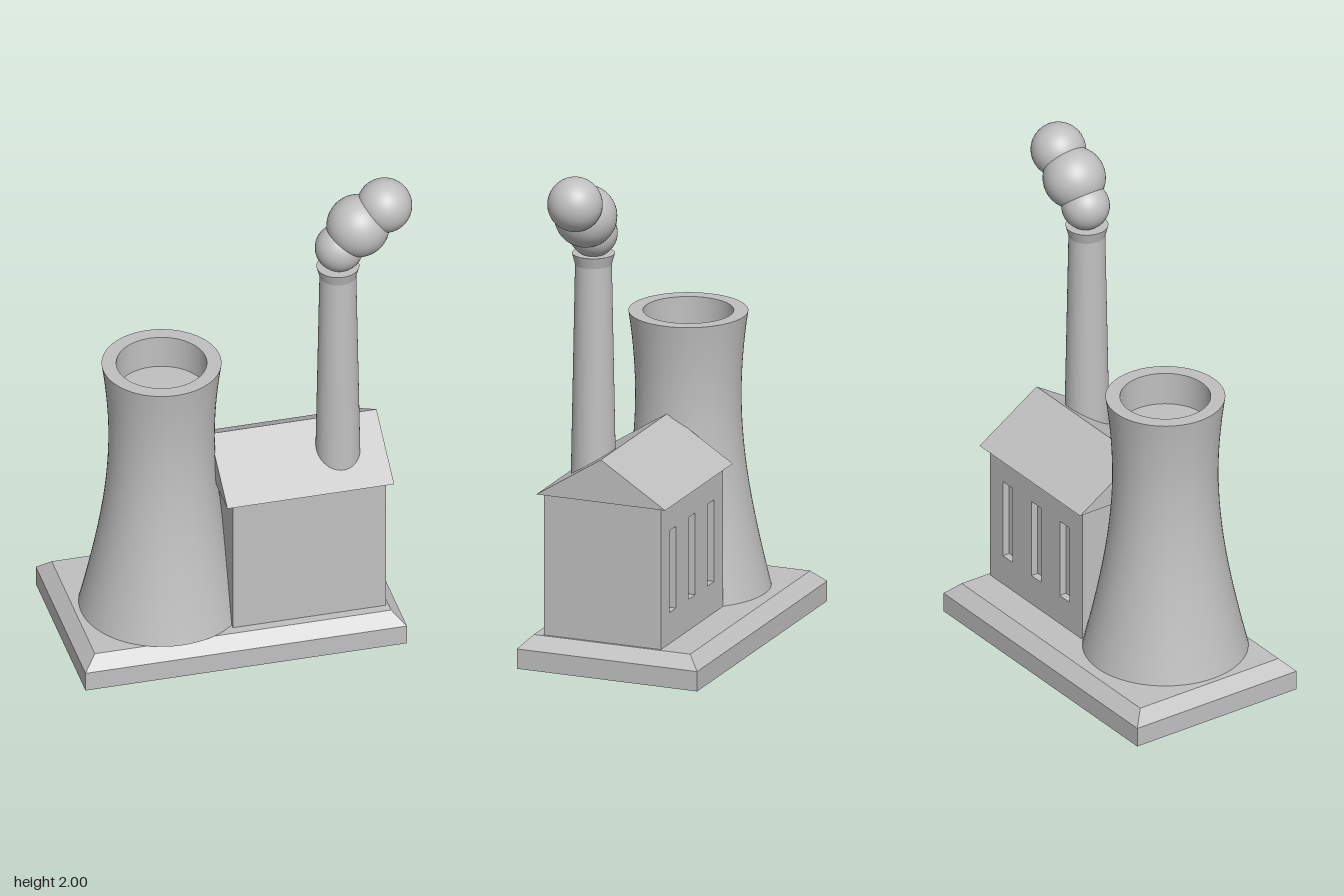
import * as THREE from 'three';

const grey = new THREE.MeshStandardMaterial({ color: 0xc0c0c0 });
grey.name = 'plain grey';

export function createModel() {
  const model = new THREE.Group();
  model.name = 'powerStation';

  const add = (parent, name, geometry, x = 0, y = 0, z = 0) => {
    const mesh = new THREE.Mesh(geometry, grey);
    mesh.name = name;
    mesh.position.set(x, y, z);
    parent.add(mesh);
    return mesh;
  };
  const group = (name, x = 0, y = 0, z = 0) => {
    const g = new THREE.Group();
    g.name = name;
    g.position.set(x, y, z);
    model.add(g);
    return g;
  };
  const lathe = (points, segments = 64) =>
    new THREE.LatheGeometry(points.map(([r, y]) => new THREE.Vector2(r, y)), segments);

  // Base slab with a chamfered upper edge
  const base = group('base', -0.04, 0, 0);
  add(base, 'baseSlab', new THREE.BoxGeometry(1.28, 0.08, 0.755), 0, 0.04, 0);
  const chamfer = new THREE.BoxGeometry(1.28, 0.05, 0.755);
  const p = chamfer.attributes.position;
  for (let i = 0; i < p.count; i++) {
    if (p.getY(i) > 0) {
      p.setX(i, p.getX(i) - Math.sign(p.getX(i)) * 0.05);
      p.setZ(i, p.getZ(i) - Math.sign(p.getZ(i)) * 0.05);
    }
  }
  chamfer.computeVertexNormals();
  add(base, 'baseChamfer', chamfer, 0, 0.105, 0);

  // Cooling tower: hyperbolic shell, flat rim and a shallow well
  const tower = group('coolingTower', -0.288, 0, 0.037);
  const shell = [];
  for (let i = 0; i <= 24; i++) {
    const y = 0.13 + (1.105 * i) / 24;
    shell.push([Math.sqrt(0.042 + 0.1019 * (y - 0.9) ** 2), y]);
  }
  const rimRadius = shell[24][0];
  add(tower, 'towerShell', lathe(shell));
  add(tower, 'towerFoot', lathe([[0, 0.131], [shell[0][0], 0.131]]));
  add(tower, 'towerRim', lathe([[rimRadius, 1.235], [0.175, 1.235]]));
  add(tower, 'towerWell', lathe([[0.175, 1.235], [0.175, 1.1]]));
  add(tower, 'towerWellFloor', lathe([[0.175, 1.1], [0, 1.1]]));

  // Turbine hall: solid body plus a back wall pierced by three tall windows
  const hall = group('hall');
  add(hall, 'hallBody', new THREE.BoxGeometry(0.61, 0.57, 0.46), 0.235, 0.415, 0.06);
  const rectangle = (Type, x0, y0, x1, y1) => {
    const r = new Type();
    r.moveTo(x0, y0).lineTo(x1, y0).lineTo(x1, y1).lineTo(x0, y1).closePath();
    return r;
  };
  const wall = rectangle(THREE.Shape, -0.07, 0.13, 0.54, 0.7);
  for (const x of [0.047, 0.235, 0.423]) {
    wall.holes.push(rectangle(THREE.Path, x - 0.032, 0.255, x + 0.032, 0.585));
  }
  add(hall, 'windowWall',
    new THREE.ExtrudeGeometry(wall, { depth: 0.03, bevelEnabled: false }), 0, 0, -0.2);

  // Gabled roof, extruded along x
  const gable = new THREE.Shape();
  gable.moveTo(-0.27, 0).lineTo(0.27, 0).lineTo(0, 0.172).closePath();
  const roof = new THREE.ExtrudeGeometry(gable, { depth: 0.664, bevelEnabled: false });
  roof.rotateY(Math.PI / 2);
  add(hall, 'roof', roof, -0.097, 0.702, 0.04);

  // Chimney with a flared mouth
  const chimney = group('chimney', 0.385, 0, 0.148);
  add(chimney, 'chimneyShaft', lathe([[0.088, 0.7], [0.071, 1.6]], 48));
  add(chimney, 'chimneyFlare', lathe([[0.071, 1.6], [0.075, 1.615], [0.083, 1.645]], 48));
  add(chimney, 'chimneyTop', lathe([[0.083, 1.645], [0, 1.645]], 48));

  // Smoke puffs
  const smoke = group('smoke', 0, 0, 0.146);
  for (const [x, y, r] of [[0.391, 1.727, 0.094], [0.466, 1.816, 0.122], [0.571, 1.893, 0.107]]) {
    add(smoke, 'smokePuff', new THREE.SphereGeometry(r, 40, 28), x, y, 0);
  }

  return model;
}
